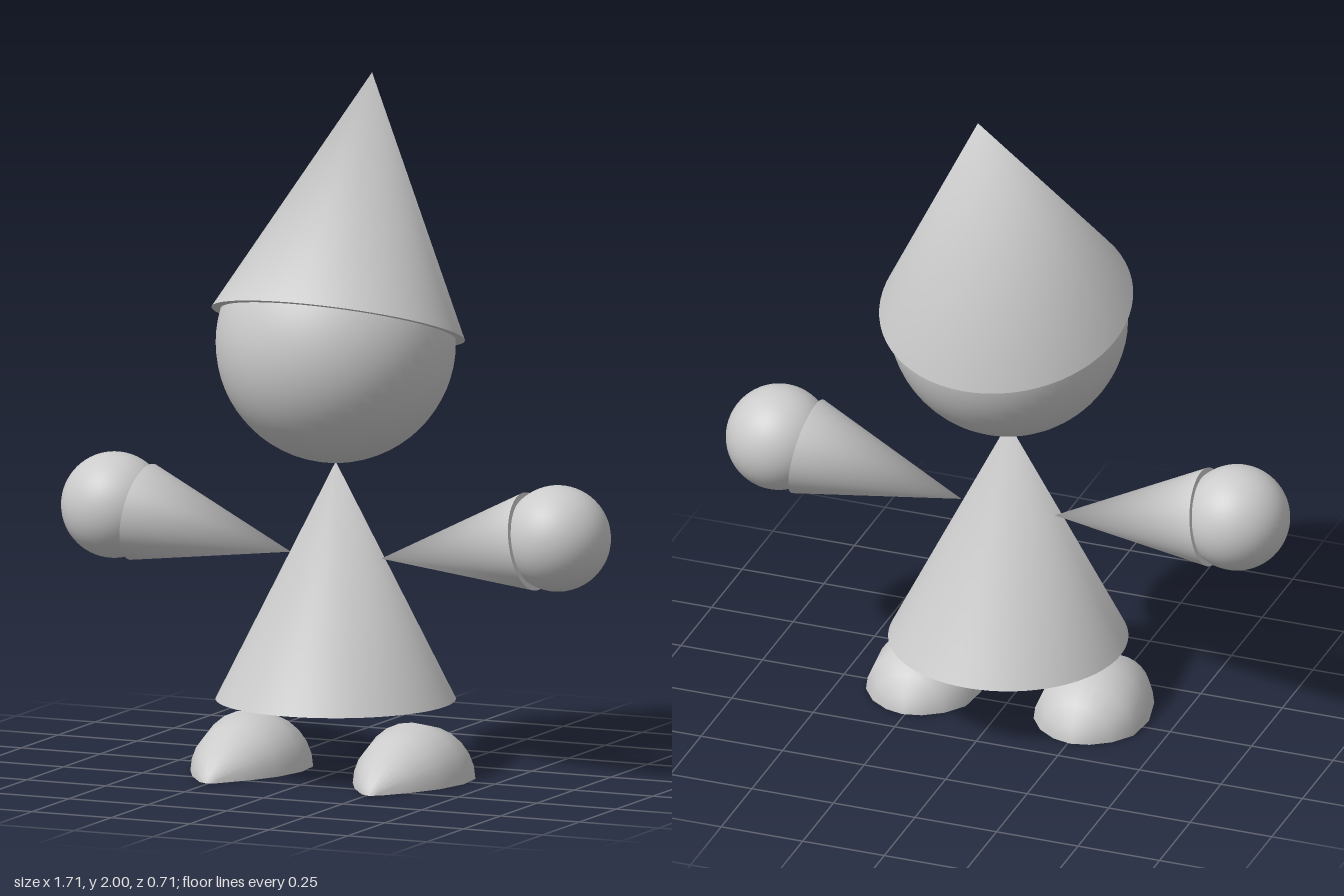
import * as THREE from 'three';
import { toCreasedNormals } from 'three/addons/utils/BufferGeometryUtils.js';

const grey = new THREE.MeshStandardMaterial({ color: 0xcccccc });
const UP = new THREE.Vector3(0, 1, 0);
const SIDES = 64;

function part(name, geometry, parent) {
  const mesh = new THREE.Mesh(geometry, grey);
  mesh.name = name;
  parent.add(mesh);
  return mesh;
}

// Closed cone from base centre to tip; the shared tip normal follows the axis.
function cone(name, radius, base, tip, parent) {
  const axis = tip.clone().sub(base);
  const geometry = new THREE.ConeGeometry(radius, axis.length(), SIDES, 1);
  for (let i = 0; i <= SIDES; i++) geometry.attributes.normal.setXYZ(i, 0, 1, 0);
  const mesh = part(name, geometry, parent);
  mesh.position.copy(base).add(tip).multiplyScalar(0.5);
  mesh.quaternion.setFromUnitVectors(UP, axis.normalize());
  return mesh;
}

function ball(name, radius, x, y, z, parent) {
  part(name, new THREE.SphereGeometry(radius, 48, 32), parent).position.set(x, y, z);
}

// Flat-soled shoe: arched sections from round heel to pointed toe.
function footGeometry() {
  const sections = [ // z, half width, height
    [-0.17, 0, 0], [-0.157, 0.055, 0.05], [-0.12, 0.11, 0.1], [-0.06, 0.153, 0.145],
    [0.04, 0.163, 0.168], [0.15, 0.138, 0.137], [0.24, 0.09, 0.085],
    [0.325, 0.028, 0.025], [0.34, 0, 0],
  ];
  const n = 13, positions = [], index = [];
  sections.forEach(([z, w, h], s) => {
    for (let i = 0; i < n; i++) {
      const a = (Math.PI * i) / (n - 1);
      positions.push(w * Math.cos(a), h * Math.sin(a), z);
      if (s === sections.length - 1) continue;
      const p = s * n + i, q = s * n + ((i + 1) % n);
      if (s > 0) index.push(p, q, p + n);
      if (s < sections.length - 2) index.push(q, q + n, p + n);
      else continue;
    }
  });
  const geometry = new THREE.BufferGeometry();
  geometry.setAttribute('position', new THREE.Float32BufferAttribute(positions, 3));
  geometry.setIndex(index);
  return toCreasedNormals(geometry, 0.9);
}

export function createModel() {
  const model = new THREE.Group();
  model.name = 'coneFigure';
  const v = (x, y, z) => new THREE.Vector3(x, y, z);

  // Head with a backward-tilted pointed hat
  ball('head', 0.345, 0, 1.25, 0.01, model);
  cone('hat', 0.367, v(0, 1.303, -0.007), v(0, 2, -0.237), model);

  // Cone body
  cone('body', 0.345, v(0, 0.215, 0.01), v(0, 0.905, 0.01), model);

  // Mirrored arms and feet
  const foot = footGeometry();
  for (const [side, s] of [['left', 1], ['right', -1]]) {
    cone(side + 'Arm', 0.142, v(s * 0.615, 0.715, 0.008), v(s * 0.143, 0.632, 0.008), model);
    ball(side + 'Hand', 0.153, s * 0.702, 0.73, 0.008, model);
    part(side + 'Foot', foot, model).position.x = s * 0.257;
  }
  return model;
}
